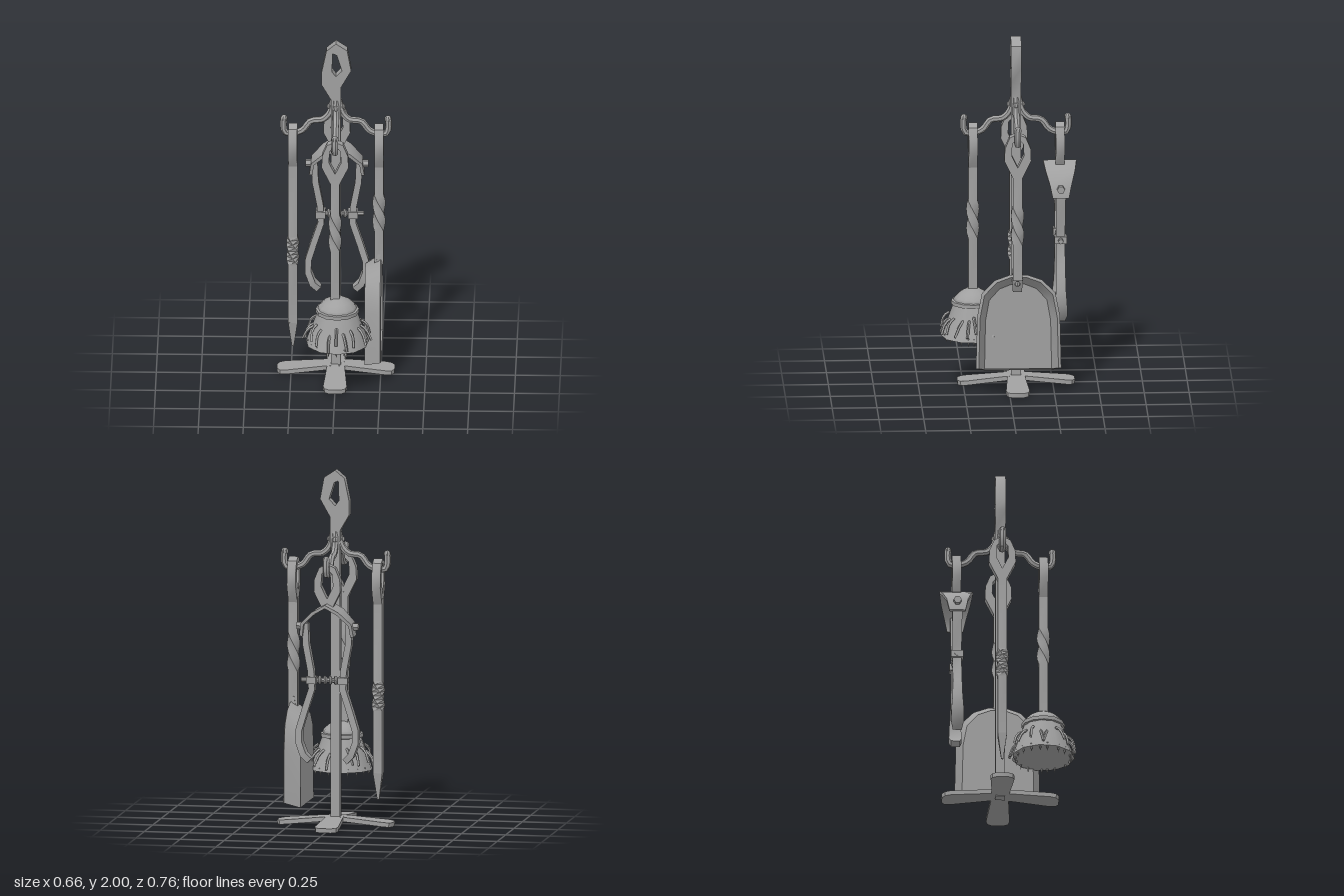
import * as THREE from 'three';
import { toCreasedNormals } from 'three/addons/utils/BufferGeometryUtils.js';

const iron = new THREE.MeshStandardMaterial({ color: 0xa0a0a0, side: THREE.DoubleSide });
iron.name = 'wrought iron grey';

const V = (x, y, z) => new THREE.Vector3(x, y, z);

function add(parent, name, geo, x = 0, y = 0, z = 0) {
  const mesh = new THREE.Mesh(toCreasedNormals(geo, 0.7), iron);
  mesh.name = name;
  mesh.position.set(x, y, z);
  parent.add(mesh);
  return mesh;
}

function group(parent, name, x = 0, z = 0, turn = 0) {
  const g = new THREE.Group();
  g.name = name;
  g.position.set(x, 0, z);
  g.rotation.y = turn;
  parent.add(g);
  return g;
}

// Skin between rings of equal point count; both ends are capped
function loft(rings) {
  const n = rings[0].length, pos = [], idx = [];
  rings.forEach(r => r.forEach(p => pos.push(p.x, p.y, p.z)));
  for (let i = 0; i < rings.length - 1; i++) {
    for (let j = 0; j < n; j++) {
      const a = i * n + j, b = i * n + (j + 1) % n;
      idx.push(a, b, a + n, b, b + n, a + n);
    }
  }
  const last = (rings.length - 1) * n;
  for (let j = 1; j < n - 1; j++) {
    idx.push(0, j + 1, j, last, last + j, last + j + 1);
  }
  const geo = new THREE.BufferGeometry();
  geo.setAttribute('position', new THREE.Float32BufferAttribute(pos, 3));
  geo.setIndex(idx);
  return geo;
}

// Flat bar along an x-y path of [x, y, half width in z]
function strip(path, thick) {
  return loft(path.map(([x, y, w], i) => {
    const a = path[Math.max(i - 1, 0)], b = path[Math.min(i + 1, path.length - 1)];
    const len = Math.hypot(b[0] - a[0], b[1] - a[1]);
    const nx = -(b[1] - a[1]) / len * thick / 2, ny = (b[0] - a[0]) / len * thick / 2;
    return [V(x + nx, y + ny, w), V(x + nx, y + ny, -w), V(x - nx, y - ny, -w), V(x - nx, y - ny, w)];
  }));
}

// Square bar from y0 to y1, twisted half a turn between t0 and t1
function twistedBar(y0, y1, t0, t1, w = 0.052) {
  const rings = [y0];
  for (let i = 0; i <= 8; i++) rings.push(t0 + (t1 - t0) * i / 8);
  rings.push(y1);
  return loft(rings.map(y => {
    const a = THREE.MathUtils.clamp((y - t0) / (t1 - t0), 0, 1) * Math.PI;
    return [0, 1, 2, 3].map(k => {
      const t = a + Math.PI / 4 + k * Math.PI / 2;
      return V(Math.cos(t) * w * 0.707, y, Math.sin(t) * w * 0.707);
    });
  }));
}

// Pierced flat plate in the x-y plane
function plate(outline, hole, depth) {
  const pts = a => a.map(([x, y]) => new THREE.Vector2(x, y));
  const shape = new THREE.Shape(pts(outline));
  shape.holes.push(new THREE.Path(pts(hole)));
  return new THREE.ExtrudeGeometry(shape, { depth, bevelEnabled: false }).translate(0, 0, -depth / 2);
}

function hangingEye(parent) {
  add(parent, 'hangingEye', plate(
    [[-0.026, 1.25], [0.026, 1.25], [0.075, 1.35], [0.072, 1.42], [0.045, 1.485], [0, 1.505],
      [-0.045, 1.485], [-0.072, 1.42], [-0.075, 1.35]],
    [[0, 1.31], [-0.034, 1.38], [-0.03, 1.45], [0, 1.48], [0.03, 1.45], [0.034, 1.38]], 0.05));
}

const tube = (pts, r, sides = 7, seg = 20) =>
  new THREE.TubeGeometry(new THREE.CatmullRomCurve3(pts), seg, r, sides);

function buildStand(root) {
  const stand = group(root, 'stand', 0, -0.045);
  add(stand, 'post', new THREE.BoxGeometry(0.054, 1.63, 0.054), 0, 0.835, 0);
  add(stand, 'topHandle', plate(
    [[-0.028, 1.6], [0.028, 1.6], [0.028, 1.735], [0.085, 1.836], [0.063, 1.958], [0, 2],
      [-0.053, 1.955], [-0.08, 1.825], [-0.08, 1.75], [-0.028, 1.66]],
    [[-0.018, 1.94], [-0.022, 1.83], [0, 1.8], [0.034, 1.836], [0.005, 1.93]], 0.058));
  for (let i = 0; i < 4; i++) {
    const side = group(stand, 'standSide', 0, 0, i * Math.PI / 2);
    add(side, 'foot', strip([[0, 0.038, 0.045], [0.06, 0.037, 0.05], [0.28, 0.017, 0.066],
      [0.31, 0.014, 0.058], [0.327, 0.013, 0.032]], 0.025));
    // Arm dips outward and turns up into a hook
    add(side, 'hookArm', tube([[0.015, 1.65], [0.035, 1.57], [0.075, 1.53], [0.14, 1.52], [0.185, 1.465],
      [0.24, 1.445], [0.282, 1.45], [0.293, 1.49], [0.29, 1.54]].map(([x, y]) => V(x, y, 0)), 0.019));
    add(side, 'hookTip', new THREE.SphereGeometry(0.021, 7, 5), 0.29, 1.533, 0);
    add(side, 'armRivet', new THREE.SphereGeometry(0.016, 7, 5), 0.036, 1.61, 0);
  }
}

function buildPoker(root) {
  const poker = group(root, 'poker', -0.24, -0.045, Math.PI / 2);
  hangingEye(poker);
  add(poker, 'pokerShaft', twistedBar(0.3, 1.28, 0.65, 0.82));
  const tip = new THREE.CylinderGeometry(0.037, 0.008, 0.15, 4).rotateY(Math.PI / 4);
  add(poker, 'pokerTip', tip, 0, 0.225, 0);
}

function buildShovel(root) {
  const shovel = group(root, 'shovel', 0.24, -0.045, Math.PI / 2);
  hangingEye(shovel);
  add(shovel, 'shovelShaft', twistedBar(0.66, 1.28, 0.86, 1.08));
  // Pan: outer wall, rim, inner wall and floor, open at the bottom edge
  const half = [[1, 0.12], [0.97, 0.45], [0.86, 0.585], [0.55, 0.66], [0.2, 0.69]];
  const outline = half.concat(half.slice().reverse().map(([z, y]) => [-z, y]));
  const ring = (x, w, h) => outline.map(([z, y]) => V(x, 0.12 + (y - 0.12) * h, -0.05 + z * w));
  const pan = loft([ring(0.163, 0.2, 0.9), ring(0.25, 0.238, 1), ring(0.256, 0.222, 0.975), ring(0.178, 0.187, 0.87)]);
  // Slant the bottom corners of the side walls
  const p = pan.attributes.position;
  for (let i = 0; i < p.count; i++) {
    if (p.getY(i) < 0.13 && p.getX(i) > 0.2) p.setXYZ(i, p.getX(i), 0.15, p.getZ(i));
  }
  add(root, 'shovelPan', pan);
  add(root, 'shovelTongue', strip([[0.24, 0.72, 0.027], [0.232, 0.665, 0.032], [0.187, 0.58, 0.025]], 0.016), 0, 0, -0.045);
  for (const [x, y] of [[0.242, 0.665], [0.222, 0.63]]) {
    add(root, 'shovelRivet', new THREE.SphereGeometry(0.016, 8, 6), x, y, -0.045);
  }
}

function buildBrush(root) {
  const brush = group(root, 'brush', 0, 0.195);
  hangingEye(brush);
  add(brush, 'brushShaft', twistedBar(0.52, 1.28, 0.84, 1.06));
  const head = group(brush, 'brushHead', 0.012, 0);
  add(head, 'ferrule', new THREE.LatheGeometry([[0, 0.555], [0.035, 0.552], [0.075, 0.53], [0.105, 0.5], [0.108, 0.487],
    [0.121, 0.484], [0.121, 0.463], [0.1, 0.458]].map(([r, y]) => new THREE.Vector2(r, y)), 12));
  add(head, 'bristleSkirt', new THREE.CylinderGeometry(0.11, 0.176, 0.185, 11), 0, 0.372, 0);
  let seed = 7;
  const rnd = () => (seed = (seed * 16807) % 2147483647) / 2147483647;
  for (let i = 0; i < 18; i++) {
    const strand = group(head, 'looseStrand', 0, 0, (i + rnd() * 0.7) / 18 * Math.PI * 2);
    const y = 0.35 + rnd() * 0.05, s = (rnd() - 0.5) * 0.06, out = 0.17 + rnd() * 0.035;
    add(strand, 'strand', tube([V(0.13, y + 0.02, 0), V(0.162, y - 0.005, s * 0.3), V(out, y - 0.065, s)], 0.008, 4, 4));
    add(strand, 'skirtTuft', new THREE.ConeGeometry(0.012, 0.05, 4).rotateX(Math.PI), 0.155, 0.275, 0);
  }
}

function buildTongs(root) {
  const tongs = group(root, 'tongs', 0, -0.29);
  hangingEye(tongs);
  // Wide saddle that carries both legs
  add(tongs, 'saddle', strip([[-0.145, 1.1, 0.045], [-0.135, 1.17, 0.06], [-0.07, 1.235, 0.082], [0, 1.275, 0.093],
    [0.07, 1.235, 0.082], [0.135, 1.17, 0.06], [0.145, 1.1, 0.045]], 0.018));
  for (const s of [-1, 1]) {
    add(tongs, 'pivotPin', new THREE.CylinderGeometry(0.022, 0.022, 0.06, 6).rotateZ(Math.PI / 2), s * 0.145, 1.155, 0);
    add(tongs, 'tongLeg', strip([[0.125, 1.17, 0.028], [0.12, 1.05, 0.027], [0.092, 0.9, 0.025], [0.088, 0.8, 0.025],
      [0.13, 0.67, 0.026], [0.16, 0.57, 0.028], [0.16, 0.5, 0.034], [0.135, 0.43, 0.036], [0.1, 0.395, 0.025]]
      .map(([x, y, w]) => [s * x, y, w]), 0.036));
    add(tongs, 'legCollar', new THREE.BoxGeometry(0.055, 0.04, 0.07), s * 0.09, 0.85, 0);
  }
  add(tongs, 'crossBar', new THREE.CylinderGeometry(0.014, 0.014, 0.27, 8).rotateZ(Math.PI / 2), 0.015, 0.85, 0);
  for (let i = 0; i < 4; i++) {
    add(tongs, 'barRing', new THREE.TorusGeometry(0.017, 0.009, 6, 10).rotateY(Math.PI / 2 + 0.3), -0.045 + i * 0.03, 0.85, 0);
  }
}

export function createModel() {
  const root = new THREE.Group();
  root.name = 'fireplaceToolSet';
  buildStand(root);
  buildPoker(root);
  buildShovel(root);
  buildBrush(root);
  buildTongs(root);
  return root;
}
